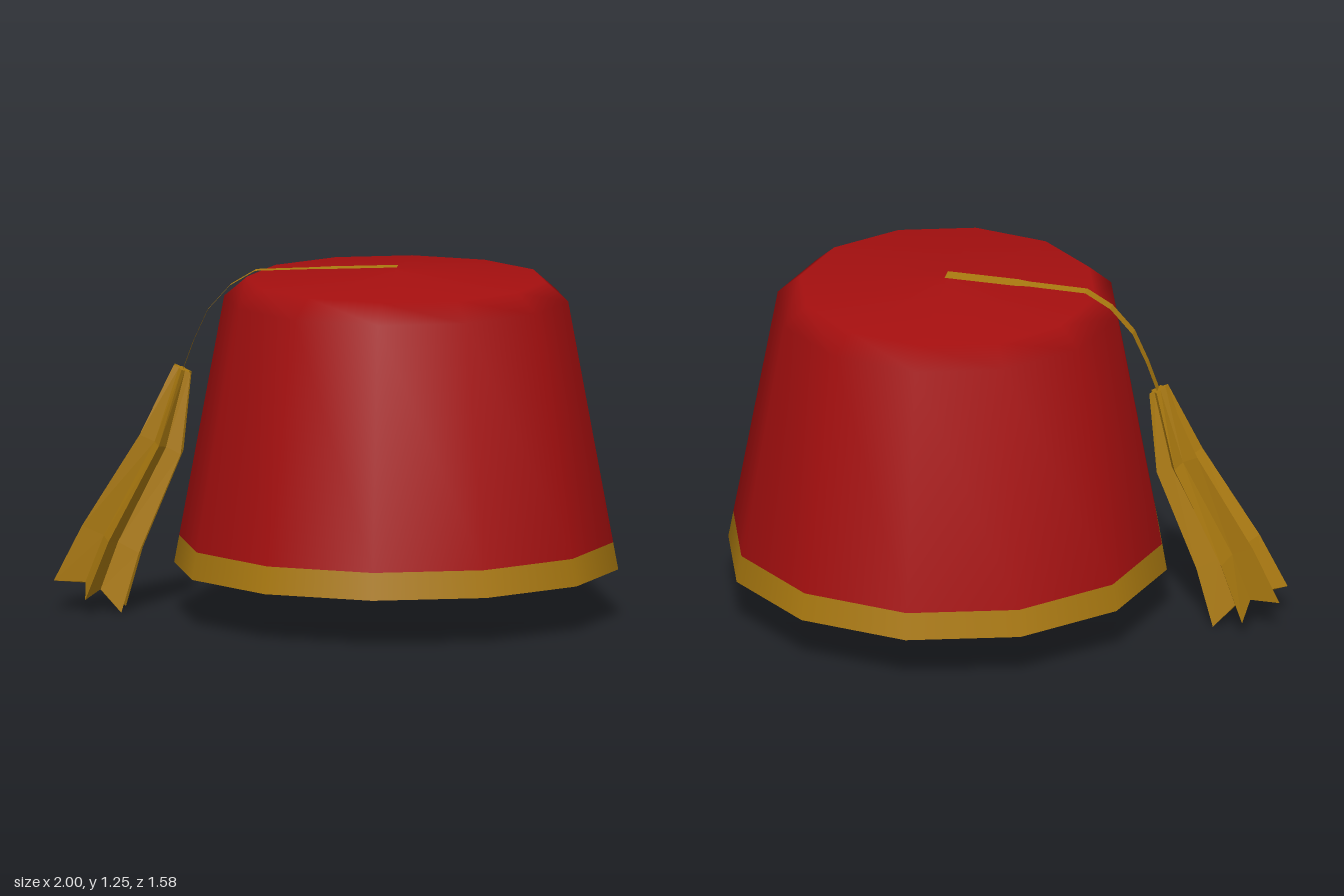
import * as THREE from 'three';

const CENTRE_X = 0.21; // the hat sits off-centre to leave room for the tassel
const SIDES = 12;

const red = new THREE.MeshStandardMaterial({ name: 'red felt', color: 0xa50f0f });
const gold = new THREE.MeshStandardMaterial({ name: 'gold trim', color: 0xab7a10 });
const goldFlat = new THREE.MeshStandardMaterial({
  name: 'gold tassel', color: 0xab7a10, flatShading: true, side: THREE.DoubleSide,
});

function part(name, geometry, material) {
  const mesh = new THREE.Mesh(geometry, material);
  mesh.name = name;
  return mesh;
}

function lathe(profile) {
  return new THREE.LatheGeometry(profile.map(([r, y]) => new THREE.Vector2(r, y)), SIDES);
}

function meshFrom(positions, indices) {
  const g = new THREE.BufferGeometry();
  g.setAttribute('position', new THREE.Float32BufferAttribute(positions, 3));
  g.setIndex(indices);
  g.computeVertexNormals();
  return g;
}

// Flat ribbon: each row is x, y, half width
function ribbon(rows) {
  const pos = [], idx = [];
  rows.forEach(([x, y, w], i) => {
    pos.push(x, y, -w, x, y, w);
    if (i) {
      const a = 2 * i - 2;
      idx.push(a, a + 2, a + 3, a, a + 3, a + 1);
    }
  });
  return meshFrom(pos, idx);
}

// Pleated tassel: star-shaped rings, each row is x, y, tip radius, valley radius, valley lift
function pleats(rows, tips) {
  const u = new THREE.Vector3(0.907, -0.42, 0);
  const up = new THREE.Vector3(0.42, 0.907, 0);
  const n = tips * 2, pos = [], idx = [];
  rows.forEach(([x, y, tip, valley, lift], i) => {
    for (let j = 0; j < n; j++) {
      const a = (j / n) * Math.PI * 2;
      const isTip = j % 2 === 1;
      const r = isTip ? tip : valley;
      const p = new THREE.Vector3(x, y, r * Math.sin(a))
        .addScaledVector(u, r * Math.cos(a))
        .addScaledVector(up, isTip ? 0 : lift);
      pos.push(p.x, p.y, p.z);
      if (i) {
        const k = (j + 1) % n, top = (i - 1) * n, low = i * n;
        idx.push(top + j, top + k, low + k, top + j, low + k, low + j);
      }
    }
  });
  // Close both ends
  const first = rows[0], last = rows[rows.length - 1];
  const c = rows.length * n;
  pos.push(first[0], first[1], 0);
  pos.push(last[0] + up.x * last[4], last[1] + up.y * last[4], 0);
  for (let j = 0; j < n; j++) {
    const k = (j + 1) % n, low = (rows.length - 1) * n;
    idx.push(c, k, j, c + 1, low + j, low + k);
  }
  return meshFrom(pos, idx);
}

export function createModel() {
  const model = new THREE.Group();
  model.name = 'tasselledHat';

  // Hat body, band and underside
  const hat = new THREE.Group();
  hat.name = 'hat';
  hat.position.x = CENTRE_X;
  hat.add(part('crown', lathe([[0.772, 0.28], [0.612, 1.14], [0.53, 1.21], [0, 1.245]]), red));
  hat.add(part('band', lathe([[0.79, 0.183], [0.772, 0.28]]), gold));
  const base = part('underside', new THREE.CircleGeometry(0.79, SIDES), gold);
  base.rotation.x = Math.PI / 2;
  base.position.y = 0.183;
  hat.add(base);
  model.add(hat);

  // Cord lying on the crown, then arching down to the tassel
  model.add(part('cord', ribbon([
    [0.215, 1.256, 0.03], [-0.04, 1.246, 0.03], [-0.08, 1.244, 0.022], [-0.29, 1.234, 0.022],
    [-0.38, 1.18, 0.022], [-0.46, 1.09, 0.022], [-0.51, 0.98, 0.02], [-0.55, 0.87, 0.02],
  ]), goldFlat));

  // Tassel flaring away from the hat
  model.add(part('tassel', pleats([
    [-0.55, 0.877, 0.038, 0.024, 0],
    [-0.625, 0.61, 0.093, 0.045, 0],
    [-0.8, 0.27, 0.129, 0.055, 0],
    [-0.88, 0.065, 0.153, 0.06, 0.04],
  ], 6), goldFlat));

  return model;
}
